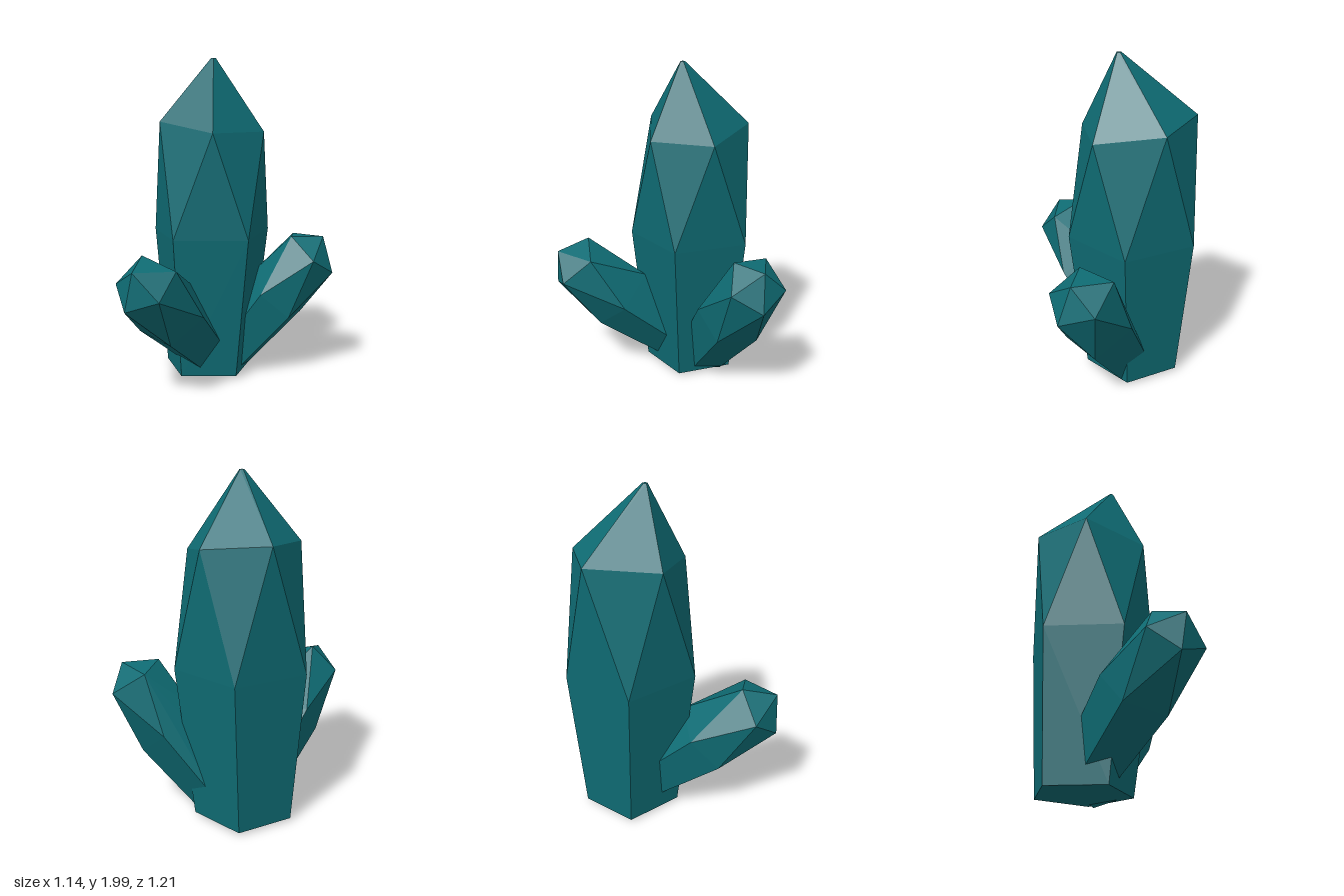
import * as THREE from 'three';
import { ConvexGeometry } from 'three/addons/geometries/ConvexGeometry.js';

const crystalTeal = new THREE.MeshStandardMaterial({ color: 0x0f6c74, flatShading: true });
crystalTeal.name = 'crystalTeal';

const BASE_SCALE = 0.76;
const toVectors = (list) => list.map((p) => new THREE.Vector3(...p));

// A faceted crystal: narrow base, wide five-sided waist, twisted shoulder ring and a tip.
// The base is the waist ring shrunk and moved to the base centre.
function crystal(name, { base, waist, shoulder, tip }) {
  const waistRing = toVectors(waist);
  const centre = waistRing
    .reduce((sum, p) => sum.add(p), new THREE.Vector3())
    .divideScalar(waistRing.length);
  const baseCentre = new THREE.Vector3(...base);
  const baseRing = waistRing.map((p) =>
    p.clone().sub(centre).multiplyScalar(BASE_SCALE).add(baseCentre));
  const points = [...baseRing, ...waistRing, ...toVectors(shoulder), ...toVectors(tip)];
  const mesh = new THREE.Mesh(new ConvexGeometry(points), crystalTeal);
  mesh.name = name;
  return mesh;
}

export function createModel() {
  const group = new THREE.Group();
  group.name = 'crystalCluster';

  // Tall crystal with a tiny flat five-sided tip
  const tallTip = [];
  for (let i = 0; i < 5; i++) {
    const a = (i / 5) * Math.PI * 2;
    tallTip.push([-0.138 + 0.014 * Math.cos(a), 2, -0.143 + 0.014 * Math.sin(a)]);
  }
  group.add(crystal('tallCrystal', {
    base: [-0.21, 0.03, -0.25],
    waist: [[-0.305, 0.92, 0.13], [0.125, 0.92, -0.01], [0.125, 0.92, -0.465],
      [-0.31, 0.92, -0.605], [-0.575, 0.92, -0.24]],
    shoulder: [[-0.07, 1.56, 0.075], [0.155, 1.56, -0.235], [-0.085, 1.62, -0.55],
      [-0.455, 1.65, -0.465], [-0.455, 1.62, -0.05]],
    tip: tallTip,
  }));

  // Short crystal leaning forward
  group.add(crystal('frontCrystal', {
    base: [-0.225, 0.17, -0.167],
    waist: [[-0.22, 0.65, 0.07], [-0.07, 0.5, 0.25], [-0.23, 0.345, 0.37],
      [-0.47, 0.385, 0.265], [-0.465, 0.57, 0.1]],
    shoulder: [[-0.39, 0.88, 0.395], [-0.525, 0.72, 0.465], [-0.41, 0.595, 0.6],
      [-0.2, 0.67, 0.605], [-0.165, 0.81, 0.435]],
    tip: [[-0.36, 0.825, 0.6]],
  }));

  // Short crystal leaning to the side
  group.add(crystal('sideCrystal', {
    base: [-0.09, 0.11, -0.28],
    waist: [[0.165, 0.55, -0.145], [0.33, 0.4, -0.21], [0.35, 0.38, -0.46],
      [0.15, 0.54, -0.555], [0.08, 0.67, -0.35]],
    shoulder: [[0.32, 0.905, -0.305], [0.48, 0.77, -0.225], [0.57, 0.67, -0.39],
      [0.47, 0.755, -0.575], [0.28, 0.885, -0.53]],
    tip: [[0.5, 0.895, -0.42]],
  }));

  return group;
}
